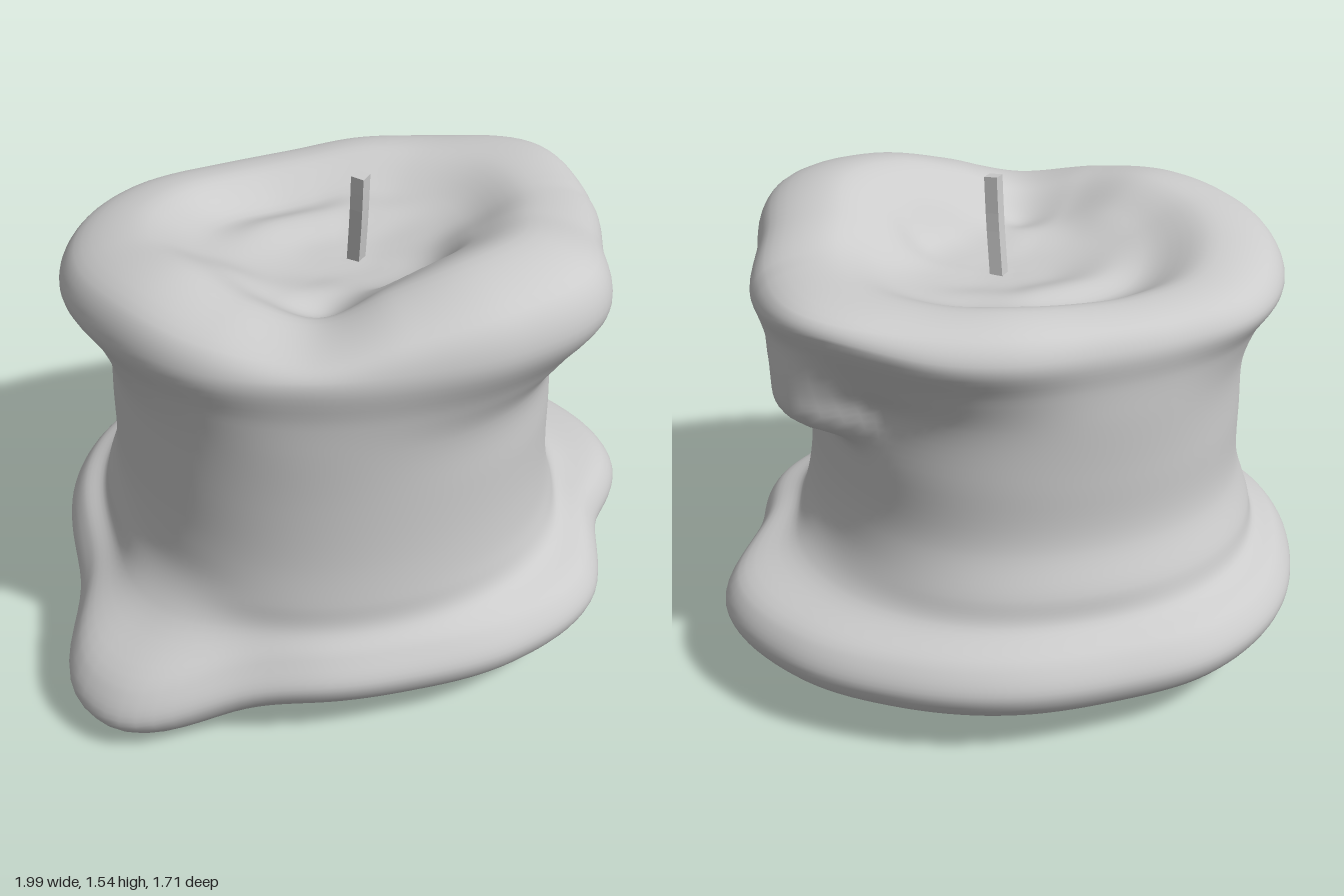
import * as THREE from 'three';

const RAD = Math.PI / 180;
const { lerp } = THREE.MathUtils;

// Values every 22.5 degrees, from +x (0) towards +z (90)
const BRIM = [0.99, 0.86, 0.92, 0.885, 0.85, 0.875, 0.91, 0.91, 0.90, 0.915, 0.93, 0.905, 0.855, 0.865, 0.9, 0.965];
const RIM = [0.83, 0.80, 0.87, 0.82, 0.765, 0.765, 0.805, 0.83, 0.86, 0.84, 0.79, 0.695, 0.66, 0.71, 0.775, 0.86];
const CREST = [1.39, 1.43, 1.48, 1.47, 1.41, 1.33, 1.37, 1.41, 1.39, 1.36, 1.33, 1.32, 1.33, 1.35, 1.355, 1.375];

// Smooth periodic interpolation of a list of values
function around(list, deg) {
  const n = list.length, t = (deg / 360) * n, i = Math.floor(t), f = t - i;
  const [a, b, c, d] = [-1, 0, 1, 2].map((k) => list[(i + k + n) % n]);
  return b + 0.5 * f * (c - a + f * (2 * a - 5 * b + 4 * c - d + f * (3 * (b - c) + d - a)));
}

// Bell-shaped bump around a centre; a higher power gives a flatter top
const bump = (v, centre, width, power = 2) => Math.exp(-(Math.abs((v - centre) / width) ** power));

// Outline of the wax at one angle, from the underside centre to the pool centre
function profile(deg) {
  const c = Math.cos(deg * RAD), s = Math.sin(deg * RAD);
  const B = around(BRIM, deg) + 0.215 * bump(deg, 148, 16, 2.5);
  const R = around(RIM, deg), H = around(CREST, deg);
  const drop = 0.125 * bump(deg, 146, 20);
  const lift = 0.04 * bump(deg, 195, 25) + 0.03 * bump(deg, 25, 12);
  const body = 0.68 - 0.05 * c + 0.04 * s + 0.08 * (c * s) ** 2;
  const fold = bump(deg, 332, 18);
  const wide = 1.255 + 0.02 * c + 0.02 * s + 0.05 * fold;
  const points = [
    // underside and spread foot
    [0, 0.155], [0.5 * B, 0.15 - 0.2 * drop], [0.79 * B, 0.125 - drop], [0.94 * B, 0.15 - 0.9 * drop + lift],
    [B, 0.24 - drop + lift], [0.95 * B, 0.33 - 0.8 * drop + lift], [lerp(body, B, 0.32 - 0.06 * s), 0.395 - 0.2 * drop + lift / 2],
    // waist
    [body + 0.04 - 0.02 * s, 0.48], [body + 0.005, 0.62], [body, 0.82], [body + 0.005, 1.01],
    // overhanging rim
    [lerp(body, R, 0.45), 1.13], [R, wide], [(0.94 + 0.03 * fold) * R, lerp(wide, H, 0.68 + 0.1 * fold)], [(0.71 - 0.03 * s) * R, H],
    // melted pool
    [0.5 * R, H - 0.075], [0.34 * R, 1.27], [0.16 * R, 1.24], [0, 1.235],
  ];
  return new THREE.CatmullRomCurve3(points.map(([r, y]) => new THREE.Vector3(r, y, 0)), false, 'centripetal');
}

function waxGeometry(sides = 144, rows = 108) {
  const pos = [], index = [];
  for (let i = 0; i < sides; i++) {
    const deg = (i / sides) * 360, a = deg * RAD;
    const signed = deg > 180 ? deg - 360 : deg;
    profile(deg).getPoints(rows).forEach(({ x, y }) => {
      // drip running down the side below the rim
      const drip = x > 0.6 ? bump(signed, -14, 12, 3) * bump(y, 1.09, 0.18, 4) : 0;
      const r = x + drip * Math.max(0, 0.84 - x);
      pos.push(r * Math.cos(a), y, r * Math.sin(a));
    });
  }
  const at = (i, j) => (i % sides) * (rows + 1) + j;
  for (let i = 0; i < sides; i++) {
    for (let j = 0; j < rows; j++) {
      index.push(at(i, j), at(i, j + 1), at(i + 1, j), at(i + 1, j), at(i, j + 1), at(i + 1, j + 1));
    }
  }
  const g = new THREE.BufferGeometry();
  g.setAttribute('position', new THREE.Float32BufferAttribute(pos, 3));
  g.setIndex(index);
  g.computeVertexNormals();
  return g;
}

export function createModel() {
  const group = new THREE.Group();

  const wax = new THREE.Mesh(waxGeometry(), new THREE.MeshStandardMaterial({ color: 0xcccccc }));
  wax.name = 'meltedWax';
  group.add(wax);

  // Bent four-sided wick
  const corners = [[0.03, 0], [0, 0.03], [-0.03, 0], [0, -0.03]];
  const diamond = new THREE.Shape(corners.map(([x, y]) => new THREE.Vector2(x, y)));
  const path = new THREE.CatmullRomCurve3([
    new THREE.Vector3(0.045, 1.2, 0.01), new THREE.Vector3(0.045, 1.4, 0.045), new THREE.Vector3(0.045, 1.54, 0.06),
  ]);
  const wick = new THREE.Mesh(
    new THREE.ExtrudeGeometry(diamond, { steps: 6, extrudePath: path, bevelEnabled: false }),
    new THREE.MeshStandardMaterial({ color: 0xcccccc, flatShading: true }),
  );
  wick.name = 'wick';
  group.add(wick);
  return group;
}
